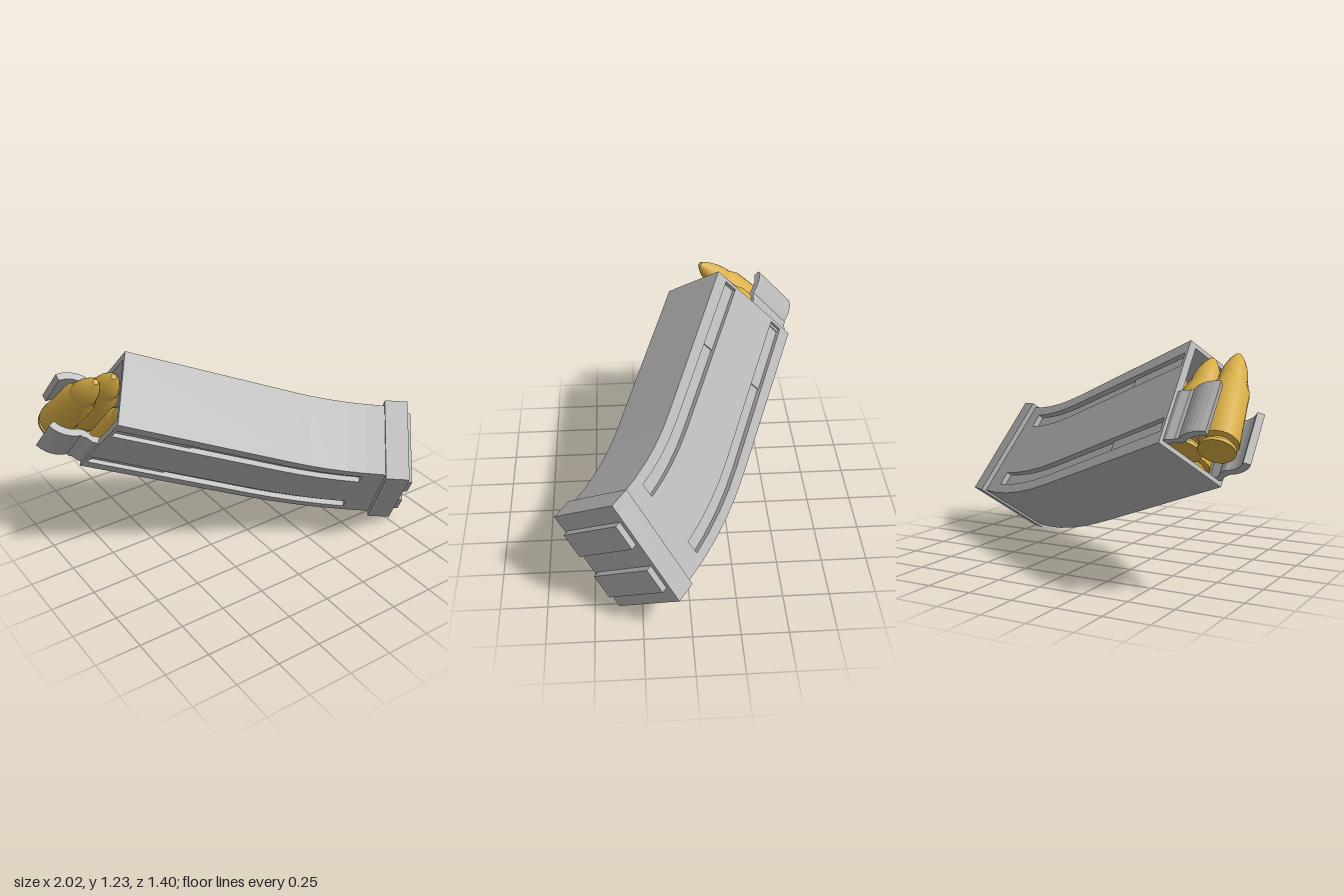
import * as THREE from 'three';
import { toCreasedNormals } from 'three/addons/utils/BufferGeometryUtils.js';

// Local frame: x runs from the mouth to the base, y across the depth, z across the width.
const STRAIGHT = 0.98, RADIUS = 1.75, BEND = 0.367, SEGMENTS = 5;
const END = STRAIGHT + RADIUS * BEND;
const HALF_WIDTH = 0.2075;

// Point at distance s along the curved centre line, offset p across the depth
function at(s, p) {
  if (s <= STRAIGHT) return new THREE.Vector2(s + 0.03 * p * (1 - s / STRAIGHT), p);
  const t = (s - STRAIGHT) / RADIUS;
  return new THREE.Vector2(STRAIGHT + (RADIUS - p) * Math.sin(t), RADIUS - (RADIUS - p) * Math.cos(t));
}

// Closed outline between two offsets, following the bend
function strip(low, high, s0, s1) {
  const stations = [s0];
  for (let i = 0; i <= SEGMENTS; i++) {
    const s = STRAIGHT + (RADIUS * BEND * i) / SEGMENTS;
    if (s > s0 + 0.01 && s < s1 - 0.01) stations.push(s);
  }
  stations.push(s1);
  const bottom = stations.map((s) => at(s, low(s)));
  const top = stations.map((s) => at(s, high(s))).reverse();
  return [...bottom, ...top];
}

const half = (s) => 0.3135 - (0.018 * s) / END;

export function createModel() {
  const steel = new THREE.MeshStandardMaterial({ color: 0xb6b6b6 });
  steel.name = 'grey steel';
  const brass = new THREE.MeshStandardMaterial({ color: 0xd9ae45 });
  brass.name = 'brass';

  const magazine = new THREE.Group();
  magazine.name = 'magazine';

  const add = (parent, name, geometry, material = steel) => {
    const mesh = new THREE.Mesh(geometry, material);
    mesh.name = name;
    parent.add(mesh);
    return mesh;
  };
  const slab = (name, points, z0, z1, holes = []) => {
    const shape = new THREE.Shape(points);
    holes.forEach((h) => shape.holes.push(new THREE.Path(h)));
    const geometry = new THREE.ExtrudeGeometry(shape, { depth: z1 - z0, bevelEnabled: false });
    geometry.translate(0, 0, z0);
    return add(magazine, name, geometry);
  };

  // Side walls: a panel with two long grooves over a thin backing
  const groove = (sign, s0, s1) => strip(() => sign * 0.2 - 0.04, () => sign * 0.2 + 0.04, s0, s1);
  const side = strip((s) => -half(s), half, 0, END);
  for (const sign of [-1, 1]) {
    const span = (a, b) => (sign > 0 ? [a, b] : [-b, -a]);
    slab('sidePanel', side, ...span(0.1775, HALF_WIDTH), [groove(1, 0.02, 1.484), groove(-1, 0.02, 1.484)]);
    slab('sideBacking', side, ...span(0.168, 0.1775));
    for (const g of [-1, 1]) slab('grooveStep', groove(g, 0.02, 0.45), ...span(0.1775, 0.184));
  }

  // Curved front and back walls
  slab('frontWall', strip((s) => half(s) - 0.025, half, 0, END), -0.17, 0.17);
  slab('backWall', strip((s) => -half(s), (s) => 0.025 - half(s), 0, END), -0.17, 0.17);

  // Follower under the rounds
  const follower = add(magazine, 'follower', new THREE.BoxGeometry(0.03, 0.57, 0.335));
  follower.position.x = 0.34;

  // Base cap with two raised ribs
  const base = new THREE.Group();
  base.name = 'baseCap';
  const end = at(END, 0);
  base.position.set(end.x, end.y, 0);
  base.rotation.z = BEND;
  magazine.add(base);
  add(base, 'basePlate', new THREE.BoxGeometry(0.127, 0.615, 0.469)).position.x = 0.0635;
  for (const y of [0.137, -0.143]) {
    add(base, 'baseRib', new THREE.BoxGeometry(0.045, 0.145, 0.42)).position.set(0.1395, y, 0);
  }

  // Feed lips: pinched at the mouth, then curling around the top round
  for (const sign of [-1, 1]) {
    const outer = [[0.03, 0.19], [-0.03, 0.19], [-0.065, 0.172], [-0.085, 0.172]];
    const inner = [[0.03, 0.155], [-0.04, 0.155], [-0.07, 0.135]];
    for (let i = 0; i <= 6; i++) {
      const a = -0.4 + (1.0 * i) / 6;
      outer.push([-0.165 - 0.18 * Math.sin(a), 0.18 * Math.cos(a)]);
      inner.push([-0.165 - 0.142 * Math.sin(a), 0.142 * Math.cos(a)]);
    }
    const points = [...outer, ...inner.reverse()].map(([l, w]) => new THREE.Vector2(l, sign * w));
    const geometry = new THREE.ExtrudeGeometry(new THREE.Shape(points), { depth: 0.29, bevelEnabled: false });
    geometry.rotateX(Math.PI / 2);
    add(magazine, 'feedLip', geometry);
  }

  // Staggered rounds, the top one held by the lips
  const profile = [
    [0, 0], [0.092, 0], [0.092, 0.018], [0.078, 0.022], [0.078, 0.036], [0.1, 0.048], [0.095, 0.36],
    [0.074, 0.415], [0.072, 0.44], [0.072, 0.45], [0.062, 0.5], [0.04, 0.56], [0.015, 0.6], [0, 0.606],
  ].map(([r, y]) => new THREE.Vector2(r, y));
  const roundGeometry = toCreasedNormals(new THREE.LatheGeometry(profile, 20), 0.5);
  const rounds = [
    [-0.185, 0, 1, -0.1],
    [-0.025, 0.072, 0.93, 0],
    [0.1, -0.072, 0.93, 0],
    [0.22, 0.072, 0.93, 0],
  ];
  for (const [l, w, scale, tilt] of rounds) {
    const round = add(magazine, 'round', roundGeometry, brass);
    round.position.set(l, -0.285, -w);
    round.scale.set(1, scale, 1);
    round.rotation.z = tilt;
  }

  // Lay the magazine at its resting tilt
  const across = new THREE.Vector3(0.494, 0.578, -0.651).normalize();
  const along = new THREE.Vector3(0.868, -0.356, 0.347);
  const depth = along.clone().cross(across).normalize();
  along.copy(across).cross(depth);
  magazine.quaternion.setFromRotationMatrix(new THREE.Matrix4().makeBasis(along, depth, across.negate()));
  magazine.position.set(-0.71, 0.8875, -0.33);

  const model = new THREE.Group();
  model.name = 'model';
  model.add(magazine);
  return model;
}
